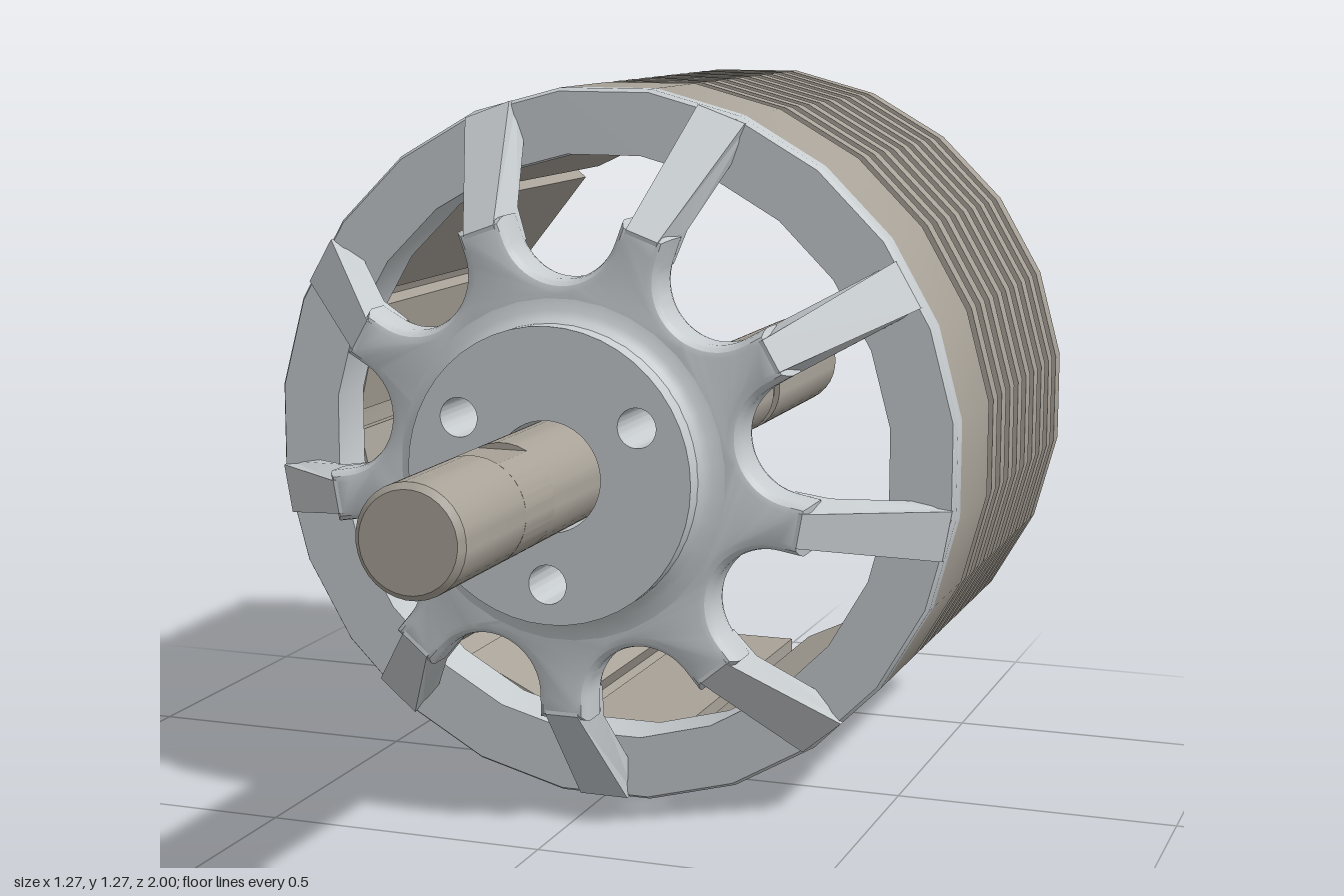
import * as THREE from 'three';
import { toCreasedNormals } from 'three/addons/utils/BufferGeometryUtils.js';

const CY = 0.637;   // height of the axis
const R = 0.641;    // outer radius of the can
const steel = new THREE.MeshStandardMaterial({ color: 0xa8a298 });
const alloy = new THREE.MeshStandardMaterial({ color: 0xc6cbce });

export function createModel() {
  const model = new THREE.Group();
  const rotor = new THREE.Group();
  rotor.name = 'rotor';
  rotor.position.y = CY;
  model.add(rotor);

  const add = (name, geometry, material, parent = rotor) => {
    const mesh = new THREE.Mesh(geometry, material);
    mesh.name = name;
    parent.add(mesh);
    return mesh;
  };
  // Turned part about the z axis; profile is [radius, z], outside listed with rising z
  const turned = (profile, sides = 24) => {
    const g = new THREE.LatheGeometry(profile.map(([r, z]) => new THREE.Vector2(r, z)), sides, Math.PI / sides);
    return toCreasedNormals(g.rotateX(Math.PI / 2), 0.5);
  };
  const extruded = (shape, z0, z1, options = {}) => {
    const g = new THREE.ExtrudeGeometry(shape, { depth: z1 - z0, bevelEnabled: false, curveSegments: 24, ...options });
    return toCreasedNormals(g.translate(0, 0, z0), 0.5);
  };
  const hole = (x, y, r) => new THREE.Path().absarc(x, y, r, 0, Math.PI * 2, true);
  const disc = (r) => new THREE.Shape().absarc(0, 0, r, 0, Math.PI * 2, false);
  const boltAngles = [30, 150, 270].map(THREE.MathUtils.degToRad);
  const BOLT_R = 0.185;

  // Ribbed can: plain band at the front, nine grooves behind it
  const can = [[0.58, -0.7], [R, -0.7]];
  for (let i = 8; i >= 0; i--) {
    const z = -0.065 - i * 0.07;
    can.push([R, z - 0.035], [0.621, z - 0.035], [0.621, z], [R, z]);
  }
  can.push([R, 0.14], [0.58, 0.14], [0.58, -0.7]);
  add('can', turned(can), steel);

  // Magnets round the inside of the can
  const magnets = new THREE.Group();
  magnets.name = 'magnets';
  rotor.add(magnets);
  for (let i = 0; i < 14; i++) {
    const a = (i / 14) * Math.PI * 2;
    const m = add('magnet', new THREE.BoxGeometry(0.205, 0.045, 0.69), steel, magnets);
    m.position.set(Math.sin(a) * 0.556, Math.cos(a) * 0.556, -0.3);
    m.rotation.z = -a;
  }

  // Front rim with a lip seated in the can
  add('frontRim', turned([
    [0.525, 0.075], [0.579, 0.075], [0.579, 0.14], [R, 0.14], [R, 0.17],
    [0.635, 0.18], [0.525, 0.18], [0.525, 0.075],
  ]), alloy);

  // Scalloped hub plate: an arc between each pair of spokes
  const SPOKES = 9, HALF = 0.045;
  const step = (Math.PI * 2) / SPOKES;
  const star = new THREE.Shape();
  for (let i = 0; i < SPOKES; i++) {
    const spoke = -Math.PI / 2 + i * step;
    const mid = spoke + step / 2;
    const c = Math.cos(spoke), s = Math.sin(spoke);
    for (const side of [-HALF, HALF]) {
      const x = 0.44 * c - side * s, y = 0.44 * s + side * c;
      if (i === 0 && side < 0) star.moveTo(x, y);
      else star.lineTo(x, y);
    }
    const sweep = Math.PI / 2 + step / 2;
    star.absarc(0.425 * Math.cos(mid), 0.425 * Math.sin(mid), 0.1, mid - sweep, mid + sweep, true);
  }
  star.closePath();
  star.holes.push(hole(0, 0, 0.22));
  add('hubPlate', extruded(star, 0.322, 0.368, {
    bevelEnabled: true, bevelThickness: 0.022, bevelSize: 0.02, bevelOffset: -0.02, bevelSegments: 3, curveSegments: 12,
  }), alloy);

  // Slanted spokes from the hub plate to the rim
  const profile = new THREE.Shape([
    [0.39, 0.31], [0.45, 0.3], [0.56, 0.18], [0.57, 0.15], [0.634, 0.15], [0.634, 0.185], [0.43, 0.39], [0.415, 0.388],
  ].map(([r, z]) => new THREE.Vector2(r, z)));
  const arm = new THREE.ExtrudeGeometry(profile, { depth: HALF * 2, bevelEnabled: false });
  arm.translate(0, 0, -HALF).rotateX(Math.PI / 2);
  // Narrow the front corner where the spoke meets the rounded plate
  const p = arm.attributes.position;
  for (let i = 0; i < p.count; i++) {
    if (p.getZ(i) > 0.386) p.setY(i, p.getY(i) * 0.66);
  }
  const armFlat = arm.toNonIndexed ? toCreasedNormals(arm, 0.2) : arm;
  for (let i = 0; i < SPOKES; i++) {
    add('spoke', armFlat, alloy).rotation.z = -Math.PI / 2 + i * step;
  }

  // Raised centre disc with three bolt holes and the shaft bore
  const centre = disc(0.255);
  centre.holes.push(hole(0, 0, 0.096));
  for (const a of boltAngles) centre.holes.push(hole(BOLT_R * Math.cos(a), BOLT_R * Math.sin(a), 0.034));
  add('centreDisc', extruded(centre, 0.302, 0.45), alloy);
  add('discFillet', turned([[0.25, 0.385], [0.3, 0.389], [0.275, 0.394], [0.262, 0.403], [0.25, 0.42]], 36), alloy);

  // Rear boss, notched by the bolt holes over its front part
  const BOSS = 0.18;
  const notched = new THREE.Shape();
  const bite = 2 * Math.asin(0.034 / 2 / BOSS);
  boltAngles.forEach((a, i) => {
    const next = a + (Math.PI * 2) / 3;
    notched.absarc(0, 0, BOSS, a + bite, next - bite, false);
    const m = next + Math.PI;
    notched.absarc(BOLT_R * Math.cos(next), BOLT_R * Math.sin(next), 0.034, m + 1.4, m - 1.4, true);
  });
  notched.closePath();
  notched.holes.push(hole(0, 0, 0.088));
  add('bossFront', extruded(notched, 0.24, 0.305), alloy);
  add('bossRear', turned([[0.088, 0.165], [0.172, 0.165], [BOSS, 0.173], [BOSS, 0.24], [0.088, 0.24]], 36), alloy);

  // Set screw in the top of the boss
  const screw = add('setScrew', new THREE.CylinderGeometry(0.04, 0.04, 0.03, 20), steel);
  screw.position.set(0, 0.17, 0.23);

  // Shaft: rear length with a clip groove, front end, and a two-flat section between
  const S = 0.091;
  add('shaftRear', turned([
    [0, -1], [S - 0.01, -1], [S, -0.99], [S, -0.58], [0.08, -0.58], [0.08, -0.54], [S, -0.54], [S, 0.64], [0, 0.64],
  ], 32), steel);
  add('shaftFront', turned([[0, 0.76], [S, 0.76], [S, 0.99], [S - 0.01, 1], [0, 1]], 32), steel);
  const flatAngle = Math.asin(0.08 / S);
  const section = new THREE.Shape();
  section.absarc(0, 0, S, -flatAngle, flatAngle, false);
  section.absarc(0, 0, S, Math.PI - flatAngle, Math.PI + flatAngle, false);
  section.closePath();
  add('shaftFlats', extruded(section, 0.64, 0.76), steel);

  return model;
}
